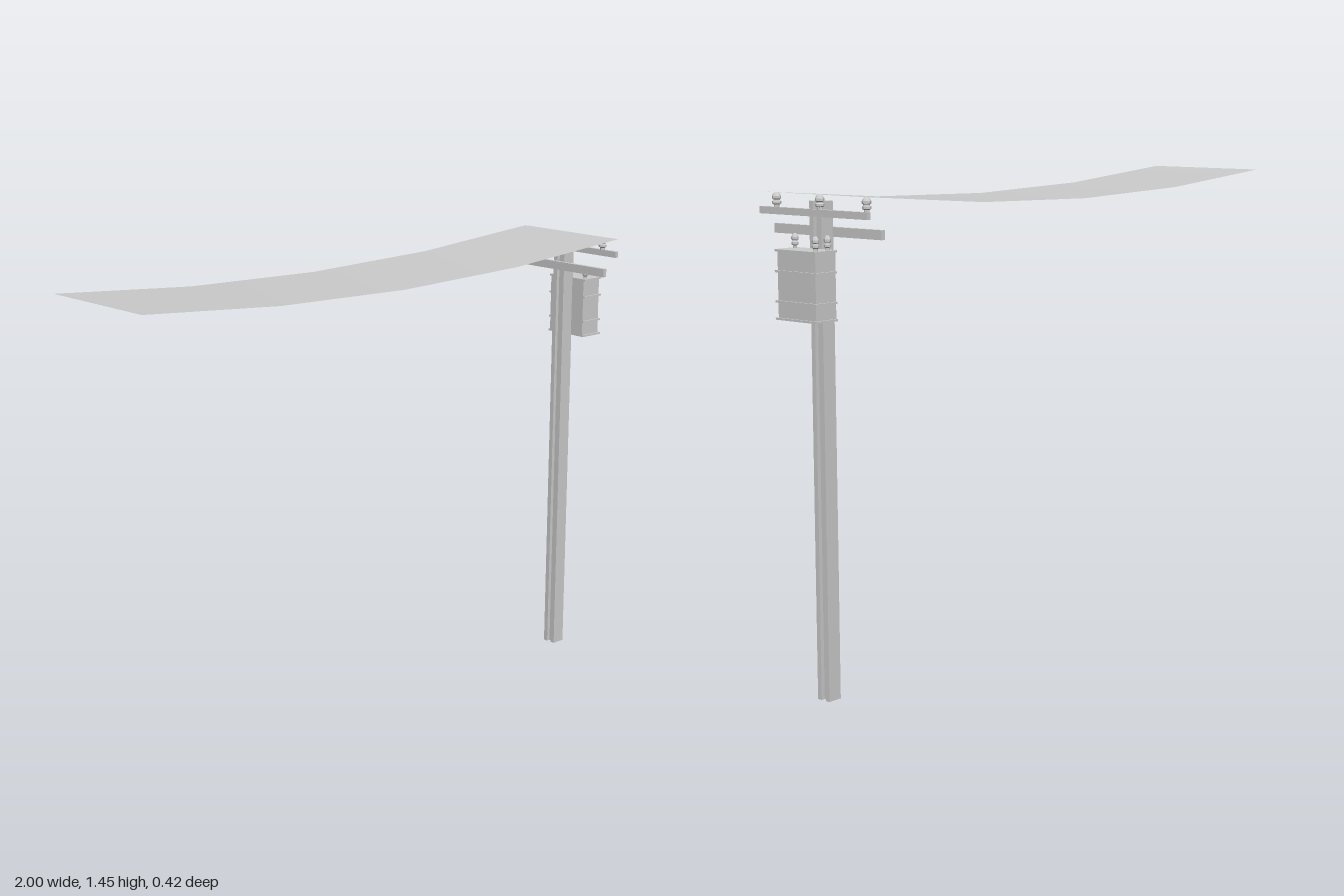
import * as THREE from 'three';

const grey = new THREE.MeshStandardMaterial({ color: 0xcccccc, flatShading: true });
const sheetGrey = new THREE.MeshStandardMaterial({ color: 0xcccccc, side: THREE.DoubleSide });

function add(parent, name, geometry, x = 0, y = 0, z = 0, material = grey) {
  const mesh = new THREE.Mesh(geometry, material);
  mesh.name = name;
  mesh.position.set(x, y, z);
  parent.add(mesh);
  return mesh;
}

// Box given by its minimum and maximum corners
function addBox(parent, name, [x0, y0, z0], [x1, y1, z1]) {
  return add(parent, name, new THREE.BoxGeometry(x1 - x0, y1 - y0, z1 - z0),
    (x0 + x1) / 2, (y0 + y1) / 2, (z0 + z1) / 2);
}

// Ribbed ceramic body standing on y = 0
function insulatorGeometry(radius, height) {
  const profile = [
    [0, 0], [0.6, 0], [0.6, 0.2], [1, 0.27], [1, 0.42], [0.7, 0.48],
    [0.7, 0.54], [1, 0.6], [1, 0.76], [0.7, 0.92], [0.35, 1], [0, 1],
  ].map(([r, h]) => new THREE.Vector2(r * radius, h * height));
  return new THREE.LatheGeometry(profile, 8);
}

// H-section pole, grooves open toward -x and +x
function poleGeometry(half, groove, depth, height) {
  const shape = new THREE.Shape([
    [-half, -half], [half, -half], [half, -groove], [half - depth, -groove],
    [half - depth, groove], [half, groove], [half, half], [-half, half],
    [-half, groove], [depth - half, groove], [depth - half, -groove], [-half, -groove],
  ].map(([x, y]) => new THREE.Vector2(x, y)));
  const geometry = new THREE.ExtrudeGeometry(shape, { depth: height, bevelEnabled: false });
  return geometry.rotateX(-Math.PI / 2);
}

// Thin sheet hanging in a shallow parabola between its two ends
function spanGeometry(x0, x1, width, top, sag) {
  const geometry = new THREE.PlaneGeometry(x1 - x0, width, 4, 1).rotateX(-Math.PI / 2);
  const pos = geometry.attributes.position;
  for (let i = 0; i < pos.count; i++) {
    const t = pos.getX(i) / ((x1 - x0) / 2);
    pos.setXYZ(i, pos.getX(i) + (x0 + x1) / 2, top - sag * (1 - t * t), pos.getZ(i));
  }
  geometry.computeVertexNormals();
  return geometry;
}

export function createModel() {
  const model = new THREE.Group();
  model.name = 'utilityPole';

  add(model, 'pole', poleGeometry(0.023, 0.008, 0.012, 1.43), 0.893, 0, 0);

  // Crossarms on either side of the pole
  addBox(model, 'upperCrossarm', [0.915, 1.388, -0.208], [0.928, 1.408, 0.208]);
  addBox(model, 'lowerCrossarm', [0.859, 1.33, -0.208], [0.872, 1.357, 0.208]);

  // Line insulators on the upper arm
  for (const z of [0.146, -0.023, -0.2]) {
    add(model, 'lineInsulator', insulatorGeometry(0.013, 0.043), 0.921, 1.406, z);
  }

  // Transformer: tank, four protruding bands and three bushings
  const transformer = new THREE.Group();
  transformer.name = 'transformer';
  model.add(transformer);
  addBox(transformer, 'tank', [0.914, 1.104, -0.073], [0.992, 1.298, 0.073]);
  for (const y of [1.106, 1.154, 1.238, 1.296]) {
    addBox(transformer, 'band', [0.914, y - 0.003, -0.079], [0.998, y + 0.003, 0.079]);
  }
  for (const [x, z] of [[0.935, 0.062], [0.935, -0.064], [0.981, -0.064]]) {
    add(transformer, 'bushing', insulatorGeometry(0.01, 0.042), x, 1.298, z);
  }

  // Sagging line span
  add(model, 'wireSpan', spanGeometry(-1, 0.925, 0.418, 1.449, 0.05), 0, 0, 0, sheetGrey);

  return model;
}
